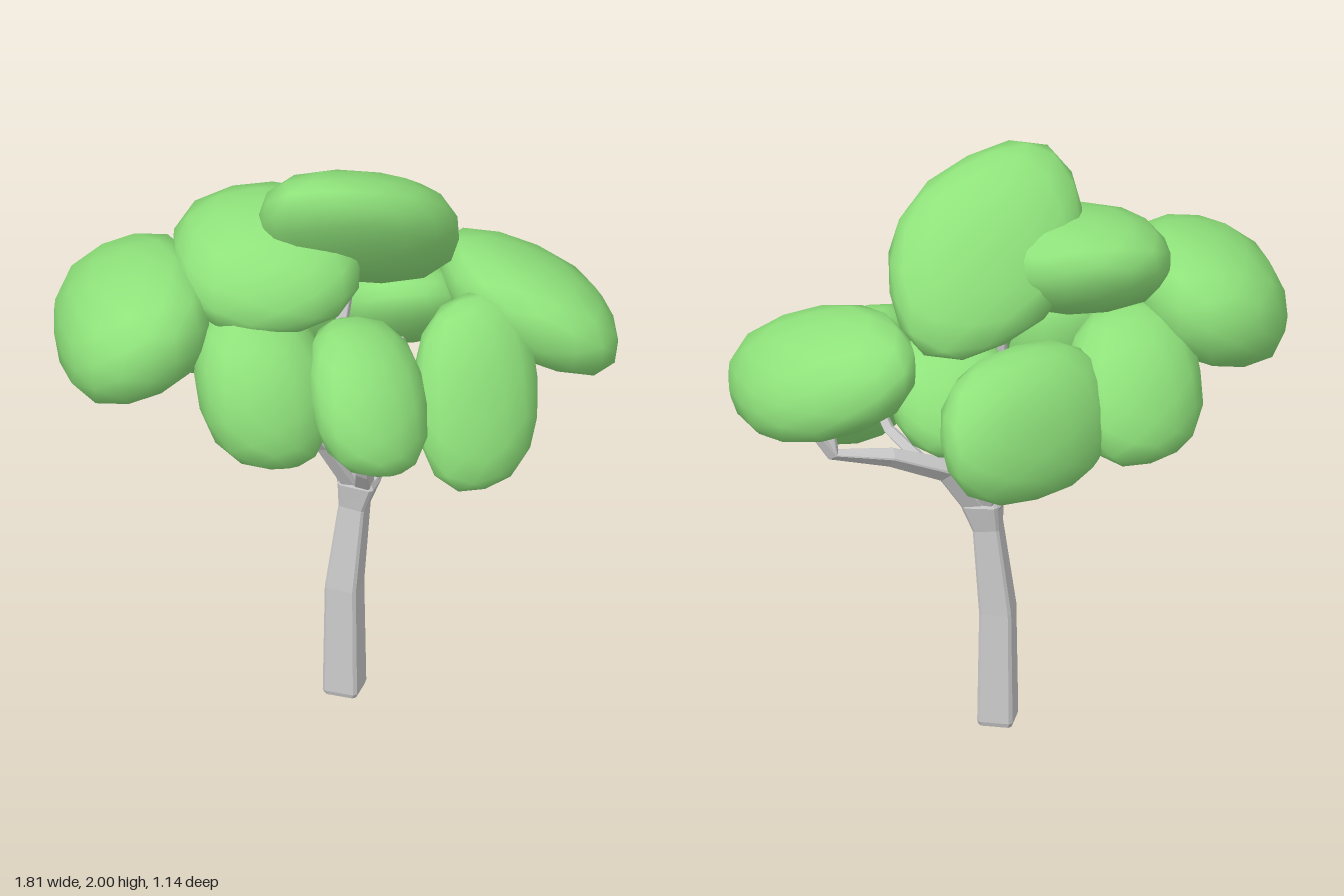
import * as THREE from 'three';
import { mergeVertices } from 'three/addons/utils/BufferGeometryUtils.js';

const bark = new THREE.MeshStandardMaterial({ color: 0xcccccc, flatShading: true });
const leaf = new THREE.MeshStandardMaterial({ color: 0x8fe27b });

// Leaf clump: a slightly squared ball, leaned by three tilts (xy, xz, yz), fitted to its size
function clump(name, centre, size, [xy, xz, yz]) {
  const s = Math.sqrt(1 - xy * xy);
  const t = (yz - xy * xz) / s;
  const u = Math.sqrt(1 - xz * xz - t * t);
  const ball = new THREE.IcosahedronGeometry(1, 2);
  ball.deleteAttribute('normal');
  ball.deleteAttribute('uv');
  const g = mergeVertices(ball, 1e-4);
  const p = g.attributes.position, v = new THREE.Vector3(), power = 2.5;
  for (let i = 0; i < p.count; i++) {
    v.fromBufferAttribute(p, i);
    const sum = v.toArray().reduce((a, c) => a + Math.abs(c) ** power, 0);
    v.divideScalar(sum ** (1 / power));
    p.setXYZ(i, v.x, v.y, v.z);
  }
  g.applyMatrix4(new THREE.Matrix4().set(
    1, 0, 0, 0,
    xy, s, 0, 0,
    xz, t, u, 0,
    0, 0, 0, 1));
  g.computeBoundingBox();
  const raw = g.boundingBox.getSize(new THREE.Vector3());
  g.scale(size[0] / raw.x, size[1] / raw.y, size[2] / raw.z);
  g.translate(...centre);
  g.computeVertexNormals();
  const mesh = new THREE.Mesh(g, leaf);
  mesh.name = name;
  return mesh;
}

// Limb: square section with bevelled corners swept along points; radiusAt(i) gives its thickness
function limb(name, path, radiusAt) {
  const pts = path.map(p => new THREE.Vector3(...p));
  const up = new THREE.Vector3(0, 1, 0);
  const pos = [], index = [], n = 8;
  pts.forEach((p, i) => {
    const dir = pts[Math.min(i + 1, pts.length - 1)].clone().sub(pts[Math.max(i - 1, 0)]);
    const q = new THREE.Quaternion().setFromUnitVectors(up, dir.normalize());
    for (let k = 0; k < n; k++) {
      const a = 0.28 + Math.floor(k / 2) * Math.PI / 2 + (k % 2 ? 0.1 : -0.1);
      const v = new THREE.Vector3(Math.cos(a), 0, -Math.sin(a));
      v.multiplyScalar(radiusAt(i)).applyQuaternion(q).add(p);
      pos.push(v.x, v.y, v.z);
    }
  });
  for (let i = 0; i < pts.length - 1; i++) {
    for (let k = 0; k < n; k++) {
      const a = i * n + k, b = i * n + (k + 1) % n;
      index.push(a, b, b + n, a, b + n, a + n);
    }
  }
  // Fan that closes the lower end
  for (let k = 1; k < n - 1; k++) index.push(0, k + 1, k);
  const g = new THREE.BufferGeometry();
  g.setAttribute('position', new THREE.Float32BufferAttribute(pos, 3));
  g.setIndex(index);
  g.computeVertexNormals();
  const mesh = new THREE.Mesh(g, bark);
  mesh.name = name;
  return mesh;
}

// Branch: a limb thinning evenly to a twig
function branch(name, radius, path) {
  return limb(name, path, i => THREE.MathUtils.lerp(radius, 0.014, i / (path.length - 1)));
}

export function createModel() {
  const tree = new THREE.Group();
  tree.name = 'tree';

  // Trunk with a bevelled foot and a flared fork
  const trunkRadii = [0.069, 0.075, 0.068, 0.056, 0.078, 0.045];
  tree.add(limb('trunk', [
    [0.022, 0, 0.05], [0.022, 0.015, 0.05], [0.022, 0.4, 0.05],
    [0.055, 0.7, 0.05], [0.072, 0.79, 0.055], [0.066, 0.86, 0.05]], i => trunkRadii[i]));

  // Each bough is a leaf clump and the branch that ends at its centre
  function bough(name, centre, size, tilts, radius, ...path) {
    const group = new THREE.Group();
    group.name = name + 'Bough';
    group.add(clump(name + 'Clump', centre, size, tilts));
    group.add(branch(name + 'Branch', radius, [...path, centre]));
    tree.add(group);
  }

  bough('top', [0.08, 1.715, -0.005], [0.66, 0.57, 0.47], [-0.35, -0.22, 0.65],
    0.05, [0.05, 0.77, 0.05], [0.01, 0.97, 0.06], [0, 1.1, 0.08], [0.02, 1.4, 0.03]);
  bough('upperLeft', [-0.225, 1.635, 0.005], [0.59, 0.35, 0.55], [0.08, 0.08, -0.25],
    0.026, [0.01, 0.97, 0.04], [-0.06, 1.05, 0.12], [-0.1, 1.25, 0.12]);
  bough('farLeft', [-0.665, 1.455, 0], [0.49, 0.43, 0.65], [0.25, -0.05, 0],
    0.04, [0.05, 0.79, 0.03], [-0.06, 0.97, -0.06], [-0.14, 1.08, -0.1], [-0.4, 1.25, -0.14]);
  bough('farRight', [0.635, 1.36, -0.01], [0.53, 0.4, 0.58], [-0.45, 0.35, -0.1],
    0.048, [0.08, 0.77, 0.05], [0.2, 0.93, 0.03], [0.4, 1.02, 0], [0.6, 1.07, -0.02]);
  bough('front', [0.042, 1.283, 0.335], [0.385, 0.43, 0.47], [-0.2, -0.1, -0.4],
    0.036, [0.08, 0.79, 0.08], [0.06, 0.9, 0.18], [0.05, 1.0, 0.24]);
  bough('frontLeft', [-0.28, 1.3, 0.225], [0.43, 0.5, 0.45], [-0.15, 0, -0.3],
    0.034, [0.04, 0.8, 0.07], [-0.06, 0.98, 0.12], [-0.17, 1.12, 0.18]);
  bough('frontRight', [0.415, 1.205, 0.245], [0.41, 0.57, 0.39], [0.05, -0.25, -0.62],
    0.024, [0.27, 0.96, 0.02], [0.36, 1.05, 0.14]);
  bough('backLeft', [-0.35, 1.28, -0.23], [0.44, 0.44, 0.46], [-0.05, -0.15, 0.45],
    0.022, [-0.14, 1.08, -0.1], [-0.25, 1.2, -0.18]);
  bough('back', [0.06, 1.26, -0.36], [0.62, 0.46, 0.43], [0.05, -0.5, 0.25],
    0.038, [0.07, 0.79, 0.03], [0.08, 0.97, -0.06], [0.07, 1.17, -0.18]);
  bough('backRight', [0.245, 1.3, -0.175], [0.41, 0.33, 0.36], [0, 0.1, 0.5],
    0.026, [0.2, 0.93, 0.03], [0.21, 1.13, 0.05]);

  // Side twig under the far right clump
  tree.add(branch('farRightTwig', 0.022, [[0.6, 1.07, -0.02], [0.74, 1.27, -0.02]]));

  return tree;
}
